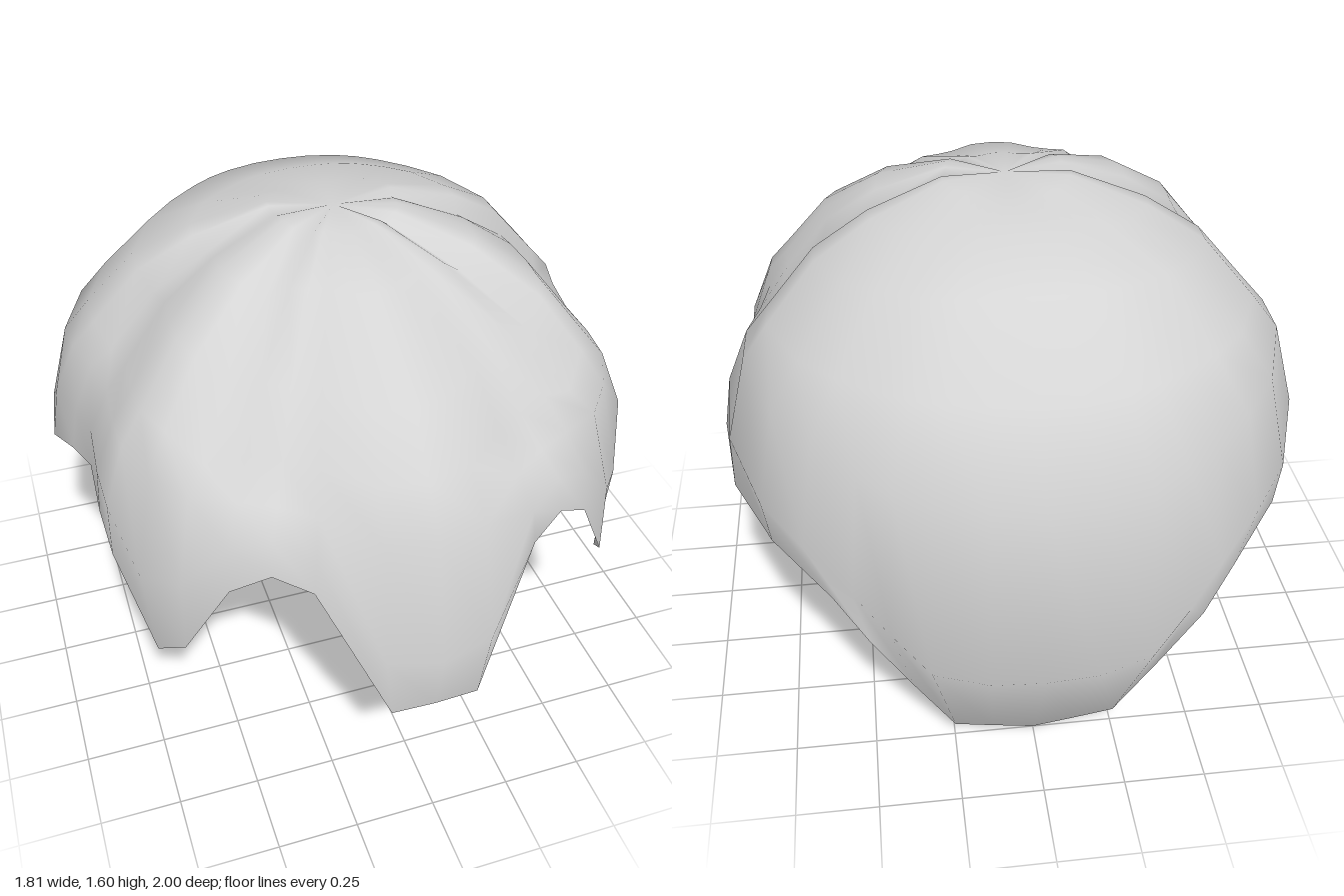
import * as THREE from 'three';

// Half of the lower edge from front to back: [belly x, y, z, rim x, y, z, crease depth]
const half = [
  [0, 0.66, 1.0, 0, 0.45, 0.965, 0],
  [0.16, 0.68, 0.97, 0.135, 0.45, 0.96, 0],
  [0.32, 1.0, 0.835, 0.33, 0.89, 0.845, 0],
  [0.425, 1.04, 0.77, 0.435, 0.935, 0.79, 0],
  [0.535, 1.0, 0.72, 0.545, 0.865, 0.74, 0],
  [0.665, 0.85, 0.66, 0.67, 0.61, 0.67, 0.05],
  [0.76, 0.8, 0.54, 0.735, 0.49, 0.54, 0],
  [0.815, 0.98, 0.42, 0.82, 0.81, 0.43, 0],
  [0.82, 1.02, 0.3, 0.83, 0.88, 0.31, 0],
  [0.81, 1.06, 0.155, 0.825, 0.935, 0.16, 0],
  [0.835, 1.03, 0, 0.86, 0.89, 0, 0.03],
  [0.875, 1.02, -0.14, 0.905, 0.85, -0.14, 0],
  [0.88, 0.9, -0.29, 0.885, 0.72, -0.29, 0],
  [0.78, 0.85, -0.56, 0.76, 0.72, -0.57, 0],
  [0.66, 0.8, -0.71, 0.59, 0.66, -0.77, 0],
  [0.53, 0.72, -0.83, 0.49, 0.54, -0.84, 0],
  [0.43, 0.62, -0.9, 0.37, 0.31, -0.81, 0],
  [0.32, 0.5, -0.95, 0.25, 0.09, -0.78, 0],
  [0.16, 0.48, -0.99, 0.13, 0.05, -0.765, 0],
  [0, 0.48, -1.0, 0, 0.01, -0.75, 0],
];

// Dome profiles: [share of the belly radius, height]
const frontDome = [[0.17, 1.59], [0.4, 1.53], [0.7, 1.34], [0.82, 1.18], [0.92, 1.03]];
const sideDome = [[0.22, 1.61], [0.48, 1.53], [0.67, 1.43], [0.84, 1.26], [0.92, 1.13]];
const backDome = [[0.18, 1.585], [0.35, 1.56], [0.57, 1.49], [0.77, 1.28], [0.94, 1.05]];

// One strand column from just below the crown to the rim
function column([bx, by, bz, rx, ry, rz, crease], side) {
  const facing = bz / Math.hypot(bx, bz);
  const endDome = facing > 0 ? frontDome : backDome;
  const points = sideDome.map(([sf, sy], i) => {
    const f = THREE.MathUtils.lerp(sf, endDome[i][0], facing * facing);
    const y = THREE.MathUtils.lerp(sy, endDome[i][1], facing * facing);
    // High notches lift the shoulder; creases sink the upper rings
    const lift = i === 4 ? (by - 0.5) * 0.1 : 0;
    const sink = i < 4 ? crease * (i ? 1 : 0.5) : 0;
    return [bx * f, y + lift - sink, bz * f];
  });
  points.push([bx, by, bz], [rx, ry, rz]);
  return points.map(([x, y, z]) => [x * side, y, z]);
}

function capGeometry() {
  // Right half is the mirror of the left, closing the loop
  const columns = half.map((c) => column(c, 1));
  for (let i = half.length - 2; i > 0; i--) columns.push(column(half[i], -1));
  const rows = columns[0].length;
  const count = columns.length;

  const positions = [0, 1.6, 0];
  columns.forEach((c) => c.forEach((p) => positions.push(...p)));
  const at = (i, j) => 1 + (i % count) * rows + j;

  const index = [];
  for (let i = 0; i < count; i++) {
    index.push(0, at(i, 0), at(i + 1, 0));
    for (let j = 0; j < rows - 1; j++) {
      const a = at(i, j), b = at(i + 1, j), c = at(i, j + 1), d = at(i + 1, j + 1);
      index.push(a, c, d, a, d, b);
    }
  }
  const geometry = new THREE.BufferGeometry();
  geometry.setAttribute('position', new THREE.Float32BufferAttribute(positions, 3));
  geometry.setIndex(index);
  geometry.computeVertexNormals();
  return geometry;
}

export function createModel() {
  const group = new THREE.Group();
  group.name = 'hairpiece';
  const hair = new THREE.MeshStandardMaterial({ color: 0xd4d4d4, side: THREE.DoubleSide });
  hair.name = 'light grey';
  // Open shell of hair with pointed locks
  const shell = new THREE.Mesh(capGeometry(), hair);
  shell.name = 'hairShell';
  group.add(shell);
  return group;
}
